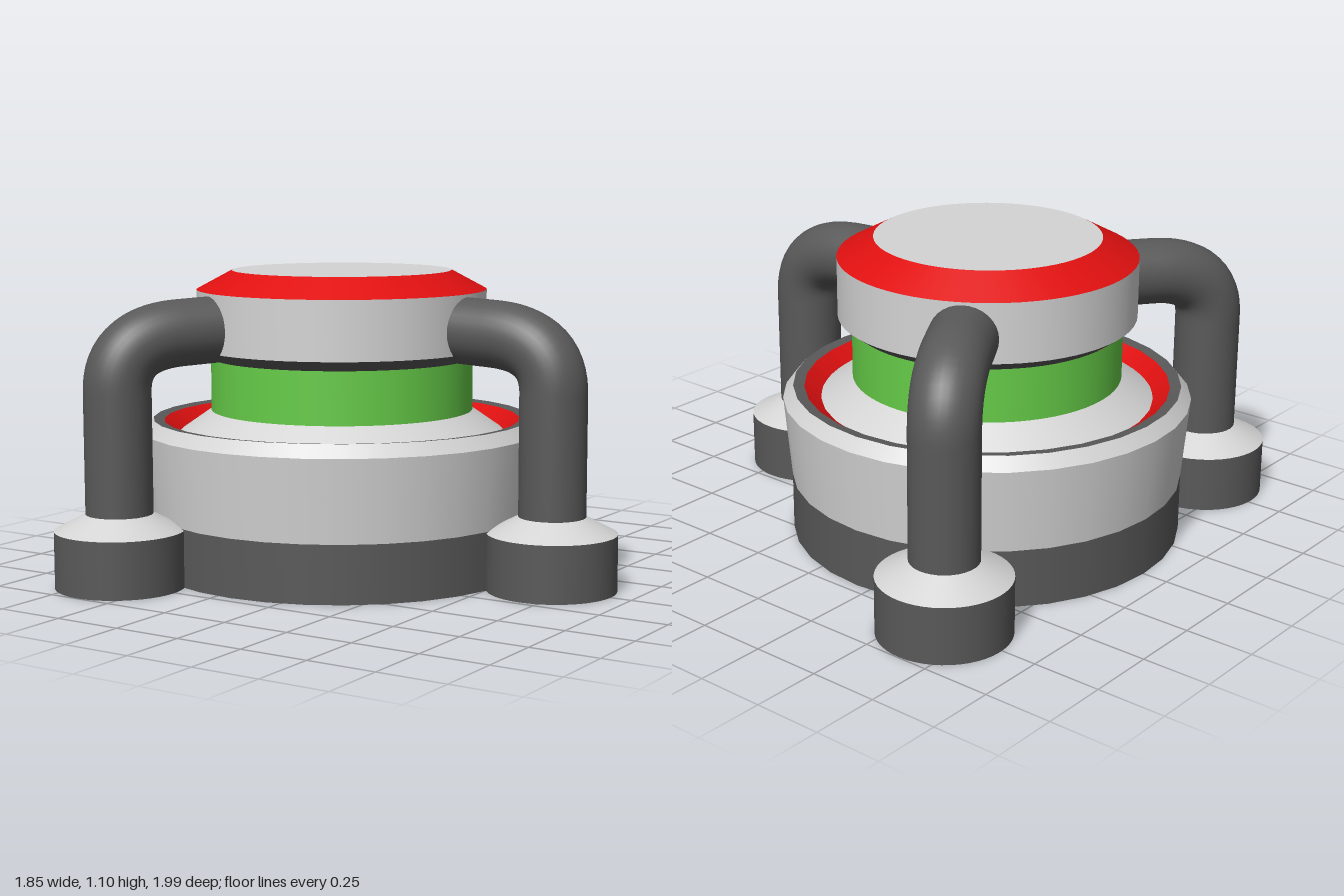
import * as THREE from 'three';
import { mergeGeometries } from 'three/addons/utils/BufferGeometryUtils.js';

const mat = (name, color) => {
  const m = new THREE.MeshStandardMaterial({ color });
  m.name = name;
  return m;
};

// Turned part: each profile step [r, y] is its own band, so edges stay sharp
// and the surface is smooth around the axis.
function turned(name, profile, material, segments = 64) {
  const bands = [];
  for (let i = 0; i < profile.length - 1; i++) {
    const pts = [profile[i], profile[i + 1]].map(([r, y]) => new THREE.Vector2(r, y));
    bands.push(new THREE.LatheGeometry(pts, segments));
  }
  const mesh = new THREE.Mesh(mergeGeometries(bands), material);
  mesh.name = name;
  return mesh;
}

export function createModel() {
  const dark = mat('dark grey', 0x595959);
  const light = mat('light grey', 0xd4d4d4);
  const red = mat('red', 0xe01010);
  const green = mat('green', 0x66cc48);

  const model = new THREE.Group();
  model.name = 'reactor';
  const body = new THREE.Group();
  body.name = 'body';
  body.position.x = -0.193;
  model.add(body);

  // Base tub with its sunken rim
  body.add(
    turned('baseFoot', [[0, 0], [0.71, 0], [0.71, 0.21]], dark, 32),
    turned('baseShell', [[0.71, 0.21], [0.737, 0.51], [0.7, 0.555]], light, 32),
    turned('rimRing', [[0.7, 0.555], [0.66, 0.55]], dark, 32),
    turned('rimSlope', [[0.66, 0.55], [0.6, 0.505]], red, 32),
    turned('coreSkirt', [[0.6, 0.505], [0.475, 0.592]], light)
  );

  // Glowing core and cap
  body.add(
    turned('core', [[0.485, 0.585], [0.485, 0.778]], green),
    turned('capUnderside', [[0.48, 0.775], [0.535, 0.815]], dark),
    turned('capWall', [[0.535, 0.815], [0.535, 1.03]], light),
    turned('capBevel', [[0.535, 1.03], [0.405, 1.1]], red),
    turned('capTop', [[0.405, 1.1], [0, 1.1]], light)
  );

  // Three bent pipes standing on round feet
  const path = new THREE.CurvePath();
  const v = (x, y) => new THREE.Vector3(x, y, 0);
  path.add(new THREE.LineCurve3(v(0.42, 0.905), v(0.64, 0.895)));
  path.add(new THREE.QuadraticBezierCurve3(v(0.64, 0.895), v(0.883, 0.885), v(0.883, 0.7)));
  path.add(new THREE.LineCurve3(v(0.883, 0.7), v(0.883, 0.2)));
  const pipeGeometry = new THREE.TubeGeometry(path, 48, 0.12, 32);

  for (let i = 0; i < 3; i++) {
    const leg = new THREE.Group();
    leg.name = 'leg' + (i + 1);
    leg.rotation.y = (i * Math.PI * 2) / 3;
    const pipe = new THREE.Mesh(pipeGeometry, dark);
    pipe.name = 'pipe';
    const foot = turned('foot', [[0, 0], [0.232, 0], [0.232, 0.205]], dark, 48);
    const collar = turned('footCollar', [[0.232, 0.205], [0.115, 0.266]], light, 48);
    foot.position.x = collar.position.x = 0.883;
    leg.add(pipe, foot, collar);
    body.add(leg);
  }
  return model;
}
